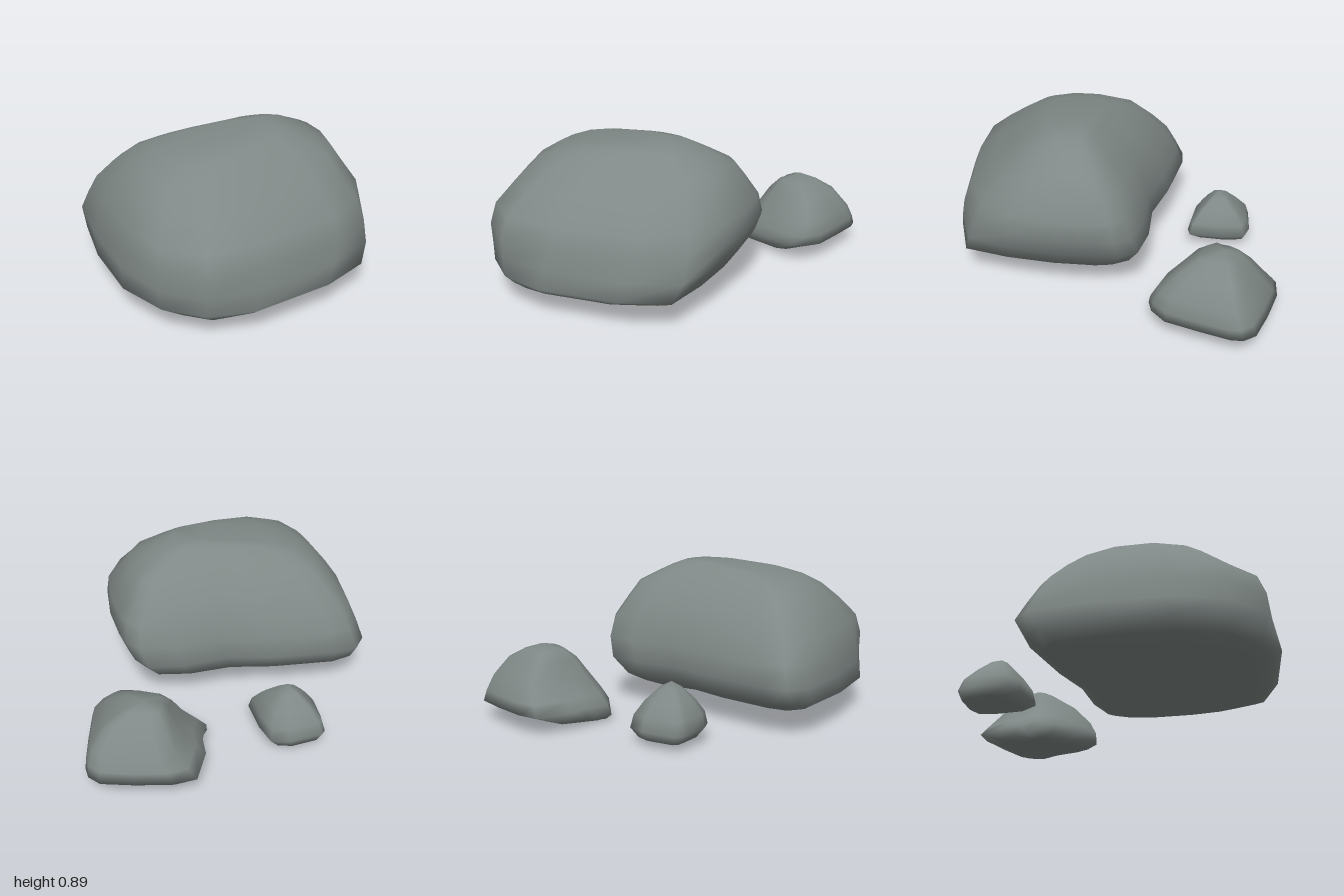
import * as THREE from 'three';

const stone = new THREE.MeshStandardMaterial({ color: 0x7f8886 });
stone.name = 'grey stone';

// Boulder lofted from one plan outline [x, z], fitted at each level to
// [y, xMin, xMax, zMin, zMax, roundness, skew], and closed by a foot and a peak [x, y, z].
// Negative roundness squares the corners; skew shifts it between the two front corners.
function boulder(name, outline, levels, foot, peak) {
  const xs = outline.map(p => p[0]), zs = outline.map(p => p[1]);
  const unit = (v, a) => {
    const lo = Math.min(...a), hi = Math.max(...a);
    return (2 * v - lo - hi) / (hi - lo);
  };
  const fit = (v, lo, hi) => THREE.MathUtils.clamp((lo + hi) / 2 + v * (hi - lo) / 2, lo, hi);
  const n = outline.length, pos = [...foot], index = [];

  for (const [y, x0, x1, z0, z1, round, skew = 0] of levels) {
    for (const [px, pz] of outline) {
      const u = unit(px, xs), w = unit(pz, zs);
      const k = 1 + (round + skew * u * Math.max(w, 0)) * (1 / Math.hypot(u, w) - 1);
      pos.push(fit(u * k, x0, x1), y, fit(w * k, z0, z1));
    }
  }
  pos.push(...peak);

  const last = levels.length - 1, top = 1 + levels.length * n;
  for (let i = 0; i < n; i++) {
    const j = (i + 1) % n;
    index.push(0, 1 + i, 1 + j);
    for (let r = 0; r < last; r++) {
      const a = 1 + r * n + i, b = 1 + r * n + j;
      index.push(a, a + n, b, b, a + n, b + n);
    }
    index.push(1 + last * n + i, top, 1 + last * n + j);
  }

  const geo = new THREE.BufferGeometry();
  geo.setAttribute('position', new THREE.Float32BufferAttribute(pos, 3));
  geo.setIndex(index);
  geo.computeVertexNormals();
  const mesh = new THREE.Mesh(geo, stone);
  mesh.name = name;
  return mesh;
}

export function createModel() {
  const group = new THREE.Group();
  group.name = 'boulders';

  // Large rounded boulder with a long crest
  group.add(boulder('largeBoulder', [
    [-0.91, -0.29], [-0.82, -0.38], [-0.68, -0.40], [-0.28, -0.33], [0, -0.25], [0.28, -0.235],
    [0.48, -0.18], [0.54, -0.08], [0.56, 0.02], [0.56, 0.28], [0.52, 0.57], [0.42, 0.82],
    [0.15, 0.94], [-0.35, 0.99], [-0.66, 0.95], [-0.86, 0.76], [-0.95, 0.45], [-0.96, 0.05],
  ], [
    [0.035, -0.50, 0.02, 0.23, 0.64, 0.2],
    [0.08, -0.76, 0.22, 0.03, 0.85, -0.3],
    [0.13, -0.87, 0.33, -0.25, 0.94, -0.1, -0.7],
    [0.18, -0.96, 0.44, -0.34, 1.00, 0, -1],
    [0.29, -0.95, 0.51, -0.40, 0.98, -0.1, -0.4],
    [0.41, -0.93, 0.56, -0.36, 0.96, 0, 0.5],
    [0.53, -0.90, 0.55, -0.31, 0.91, 0.1, 0.8],
    [0.65, -0.82, 0.48, -0.22, 0.77, 0.2, 0.8],
    [0.75, -0.73, 0.42, -0.11, 0.64, 0.2, 0.6],
    [0.81, -0.62, 0.31, -0.02, 0.55, 0.3, 0.5],
    [0.85, -0.47, 0.23, 0.05, 0.48, 0.4, 0.3],
    [0.88, -0.18, 0.15, 0.11, 0.41, 0.5],
  ], [-0.28, 0.03, 0.45], [0, 0.895, 0.2]));

  // Medium peaked rock with a low lobe on one side
  group.add(boulder('mediumRock', [
    [0.39, -1], [0.52, -1], [0.72, -0.94], [0.90, -0.87], [0.95, -0.80], [0.95, -0.73],
    [0.90, -0.57], [0.83, -0.37], [0.74, -0.29], [0.66, -0.27], [0.49, -0.33], [0.28, -0.46],
    [0.20, -0.59], [0.26, -0.70], [0.28, -0.82],
  ], [
    [0.01, 0.25, 0.47, -0.64, -0.48, 0],
    [0.045, 0.20, 0.78, -0.85, -0.34, -0.5],
    [0.11, 0.21, 0.95, -1.00, -0.27, 0],
    [0.17, 0.27, 0.94, -0.97, -0.28, 0],
    [0.25, 0.35, 0.91, -0.92, -0.32, 0],
    [0.36, 0.42, 0.82, -0.83, -0.43, -0.1],
    [0.42, 0.48, 0.71, -0.76, -0.54, 0],
  ], [0.37, 0, -0.57], [0.60, 0.455, -0.68]));

  // Small pebble-like rock
  group.add(boulder('smallRock', [
    [-0.43, -0.83], [-0.40, -0.855], [-0.20, -0.857], [-0.10, -0.82], [-0.08, -0.68], [-0.09, -0.48],
    [-0.15, -0.465], [-0.33, -0.50], [-0.43, -0.55], [-0.455, -0.63], [-0.44, -0.78],
  ], [
    [0.04, -0.42, -0.13, -0.845, -0.53, 0.1],
    [0.09, -0.455, -0.08, -0.86, -0.465, 0],
    [0.16, -0.44, -0.09, -0.84, -0.48, 0.1],
    [0.23, -0.39, -0.13, -0.78, -0.53, 0.2],
    [0.30, -0.32, -0.20, -0.71, -0.60, 0.4],
  ], [-0.28, 0.03, -0.68], [-0.26, 0.33, -0.65]));

  return group;
}
